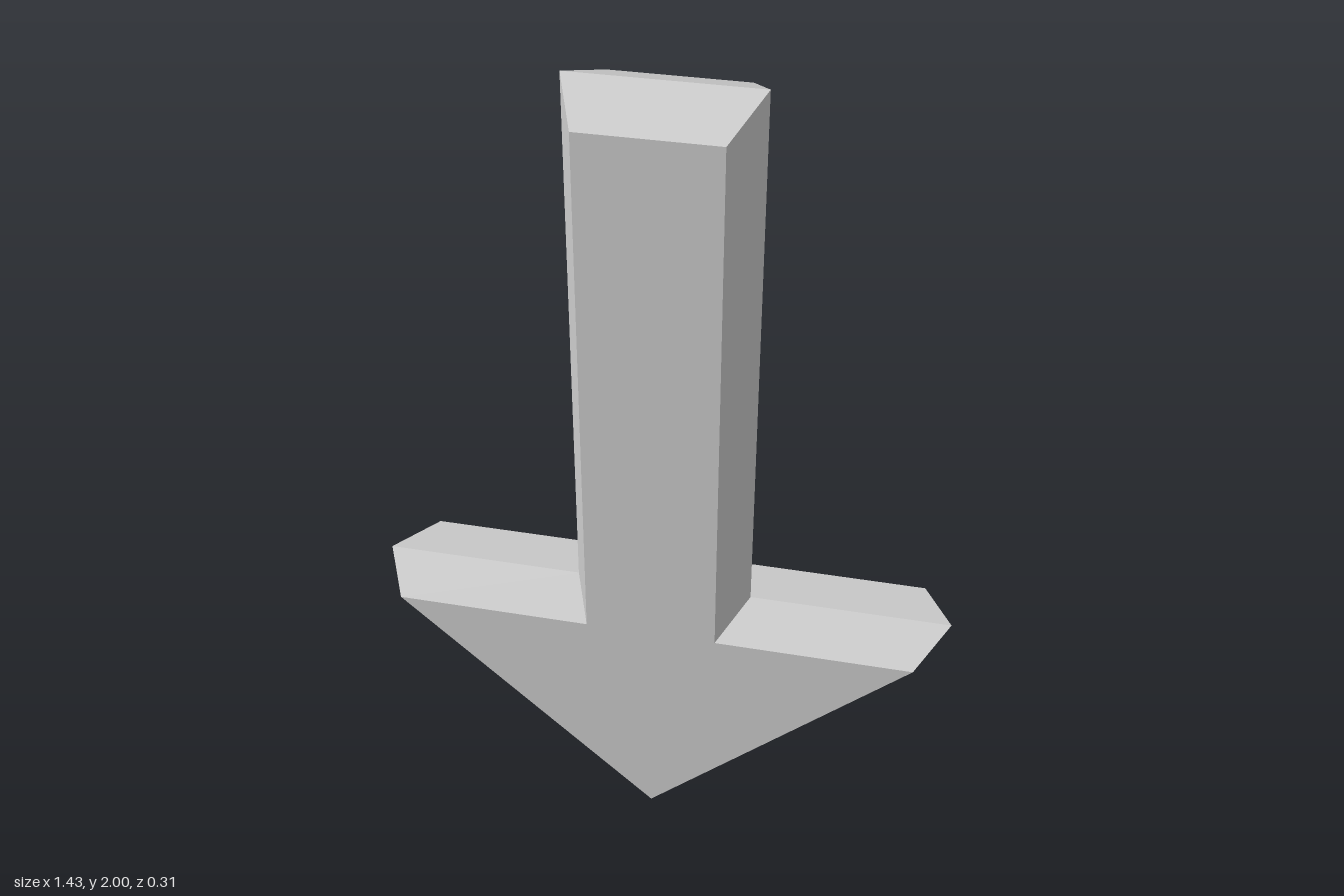
import * as THREE from 'three';

const HALF_DEPTH = 0.157;

// Right half of an arrow outline from the tip up, mirrored to a closed counter-clockwise loop
function arrowOutline(tipY, wingX, wingY, shaftX, topY) {
  const right = [[wingX, wingY], [shaftX, wingY], [shaftX, topY]];
  const left = right.map(([x, y]) => [-x, y]).reverse();
  return [[0, tipY], ...right, ...left].map(([x, y]) => new THREE.Vector2(x, y));
}

// Widest outline lies on the middle plane, the smaller one bounds the flat faces
const rim = arrowOutline(0.005, 0.716, 0.656, 0.22, 2);
const face = arrowOutline(0.045, 0.64, 0.63, 0.16, 1.942);

function bevelledArrow() {
  const positions = [];
  const triangle = (a, b, c, side) => {
    const order = side > 0 ? [a, b, c] : [a, c, b];
    for (const [p, z] of order) positions.push(p.x, p.y, z);
  };
  const caps = THREE.ShapeUtils.triangulateShape(face, []);

  for (const side of [1, -1]) {
    const z = side * HALF_DEPTH;
    // Flat face
    for (const [a, b, c] of caps) triangle([face[a], z], [face[b], z], [face[c], z], side);
    // Sloping edges from the rim to the face
    rim.forEach((p, i) => {
      const j = (i + 1) % rim.length;
      triangle([p, 0], [rim[j], 0], [face[j], z], side);
      triangle([p, 0], [face[j], z], [face[i], z], side);
    });
  }

  const geometry = new THREE.BufferGeometry();
  geometry.setAttribute('position', new THREE.Float32BufferAttribute(positions, 3));
  geometry.computeVertexNormals();
  return geometry;
}

export function createModel() {
  const model = new THREE.Group();
  model.name = 'downArrow';
  const material = new THREE.MeshStandardMaterial({ color: 0xcccccc, flatShading: true });
  const arrow = new THREE.Mesh(bevelledArrow(), material);
  arrow.name = 'arrowBody';
  model.add(arrow);
  return model;
}
